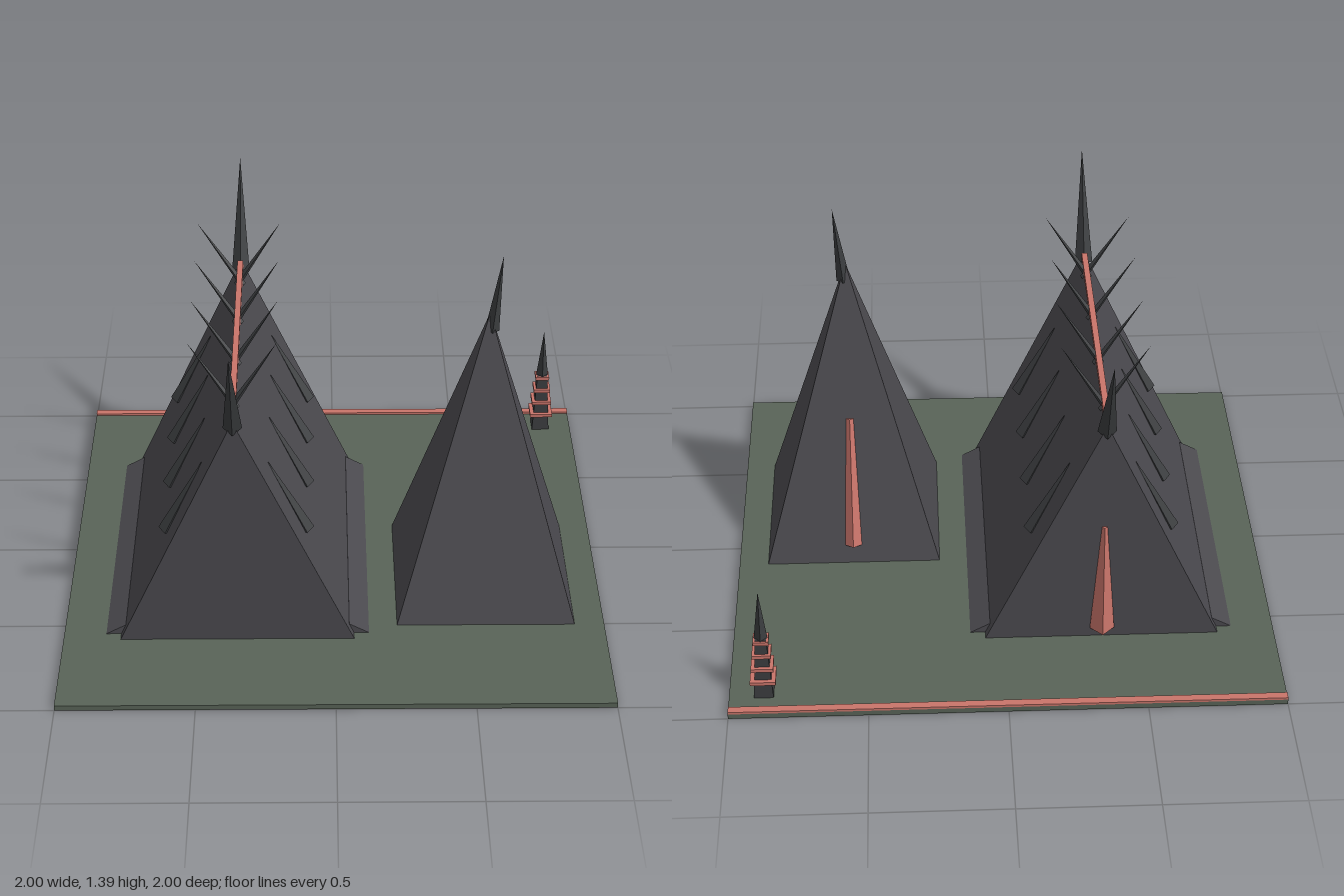
import * as THREE from 'three';

const material = (name, color) => {
  const m = new THREE.MeshStandardMaterial({ color });
  m.name = name;
  return m;
};

export function createModel() {
  const model = new THREE.Group();
  model.name = 'spiredCamp';
  const green = material('mossGreen', 0x586357);
  const slate = material('slateGrey', 0x4a494e);
  const iron = material('darkIron', 0x3a3c3e);
  const red = material('clayRed', 0xc9746a);

  // Adds a faceted mesh
  function add(parent, name, geometry, mat, x = 0, y = 0, z = 0) {
    const flat = geometry.index ? geometry.toNonIndexed() : geometry;
    flat.computeVertexNormals();
    const mesh = new THREE.Mesh(flat, mat);
    mesh.name = name;
    mesh.position.set(x, y, z);
    parent.add(mesh);
    return mesh;
  }
  const box = (w, h, d) => new THREE.BoxGeometry(w, h, d);

  // Four-sided taper running from point a to point b
  function taper(parent, name, a, b, r0, r1, mat) {
    const from = new THREE.Vector3(...a);
    const dir = new THREE.Vector3(...b).sub(from);
    const geo = new THREE.CylinderGeometry(r1, r0, dir.length(), 4);
    const mesh = add(parent, name, geo, mat);
    mesh.position.copy(from).addScaledVector(dir, 0.5);
    mesh.quaternion.setFromUnitVectors(new THREE.Vector3(0, 1, 0), dir.normalize());
    return mesh;
  }

  // Profile in x and y, extruded evenly along z
  function prism(parent, name, points, depth, mat) {
    const shape = new THREE.Shape(points.map(p => new THREE.Vector2(...p)));
    const geo = new THREE.ExtrudeGeometry(shape, { depth, bevelEnabled: false });
    return add(parent, name, geo, mat, 0, 0, -depth / 2);
  }

  // Square frustum with sides parallel to x and z
  function squareTaper(half0, half1, height) {
    return new THREE.CylinderGeometry(half1 * Math.SQRT2, half0 * Math.SQRT2, height, 4)
      .rotateY(Math.PI / 4);
  }

  // Ground slab and rear border
  add(model, 'ground', box(2, 0.02, 2), green, 0, 0.01, 0);
  add(model, 'rearBorder', box(2, 0.009, 0.03), red, 0, 0.0245, -0.985);

  // Long hall
  const hall = new THREE.Group();
  hall.name = 'hall';
  hall.position.x = -0.36;
  model.add(hall);
  prism(hall, 'hallRoof', [[-0.43, 0.02], [0.43, 0.02], [0, 0.955]], 1.22, slate);
  add(hall, 'ridgeBeam', box(0.022, 0.028, 1.11), red, 0, 0.965, 0);
  for (const s of [-1, 1]) {
    prism(hall, 'eaveSkirt', [[s * 0.485, 0.02], [s * 0.4, 0.02], [s * 0.412, 0.06]], 1.15, slate);
    taper(hall, 'gableHorn', [0, 0.92, s * 0.588], [0, 1.31, s * 0.79], 0.034, 0, iron);
    for (const z of [-0.46, -0.155, 0.155, 0.46]) {
      taper(hall, 'ridgeSpike', [-s * 0.012, 0.925, z], [s * 0.158, 1.19, z], 0.013, 0, iron);
      taper(hall, 'roofFin', [s * 0.26, 0.406, z], [s * 0.118, 0.695, z], 0.027, 0.003, iron);
    }
  }
  taper(hall, 'hallDoor', [0, 0.06, -0.615], [0, 0.52, -0.612], 0.045, 0.01, red);

  // Pyramid tower with leaning finial
  const tower = new THREE.Group();
  tower.name = 'tower';
  tower.position.set(0.56, 0, 0.2);
  model.add(tower);
  add(tower, 'towerRoof', squareTaper(0.33, 0.001, 1.14), slate, 0, 0.59, 0);
  taper(tower, 'towerFinial', [0.008, 1.09, 0], [0.04, 1.39, 0], 0.026, 0, iron);
  taper(tower, 'towerDoor', [0, 0.09, -0.312], [0, 0.58, -0.17], 0.032, 0.014, red);

  // Tiered lantern post
  const lantern = new THREE.Group();
  lantern.name = 'lantern';
  lantern.position.set(0.875, 0, -0.88);
  model.add(lantern);
  add(lantern, 'lanternPost', squareTaper(0.035, 0.02, 0.25), iron, 0, 0.145, 0);
  taper(lantern, 'lanternSpire', [0, 0.262, 0], [0, 0.47, 0], 0.025, 0, iron);
  for (let i = 0; i < 4; i++) {
    const w = 0.092 - i * 0.012;
    add(lantern, 'lanternTier', box(w, 0.014, w), red, 0, 0.093 + i * 0.056, 0);
  }
  return model;
}
